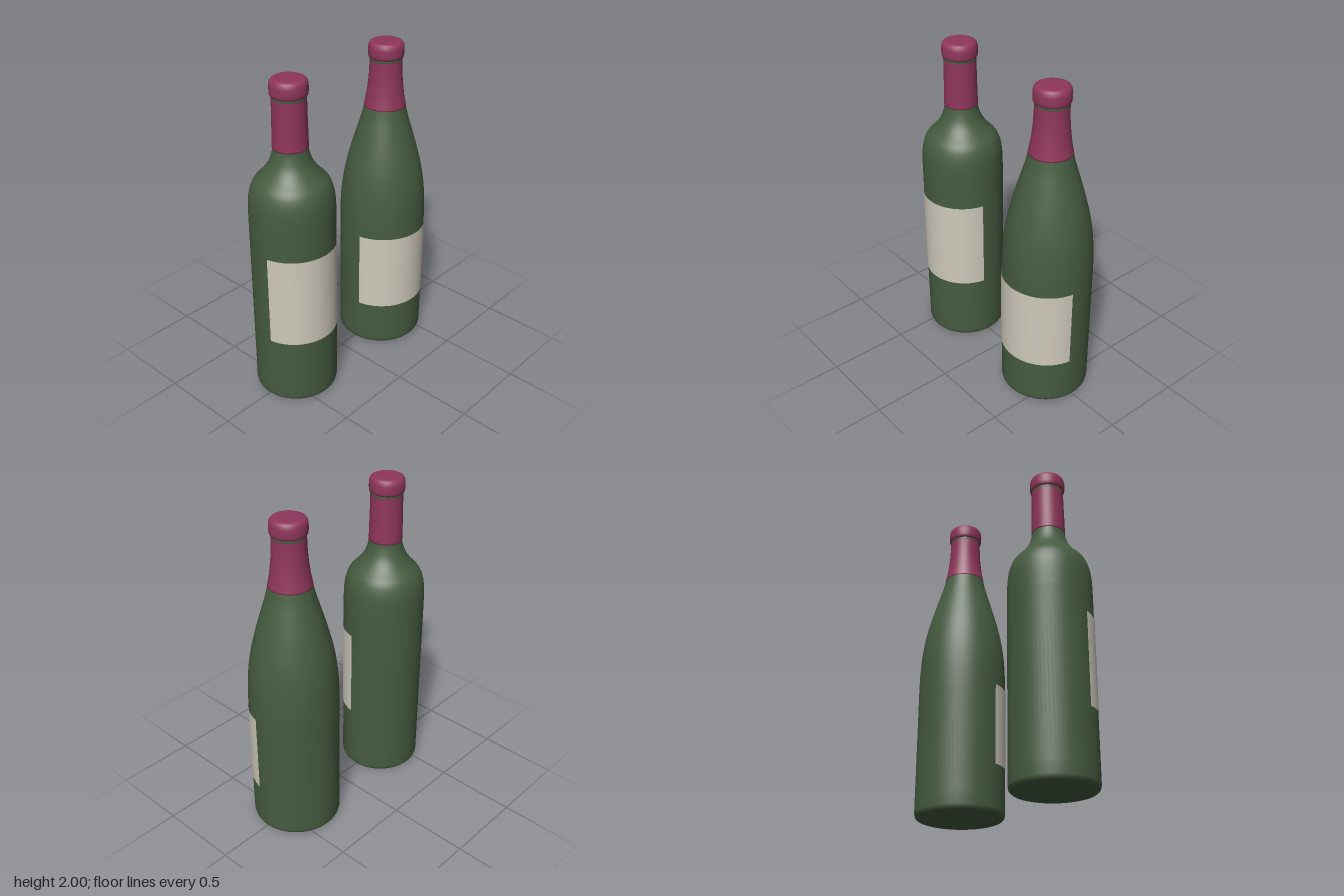
import * as THREE from 'three';

const glass = new THREE.MeshStandardMaterial({ name: 'green glass', color: 0x465c40 });
const foil = new THREE.MeshStandardMaterial({ name: 'wine red foil', color: 0x8f365a });
const paper = new THREE.MeshStandardMaterial({ name: 'cream paper', color: 0xcfcabc, side: THREE.DoubleSide });

const SEGMENTS = 72;
const points = (list) => list.map(([r, y]) => new THREE.Vector2(r, y));
const smooth = (list, n) => new THREE.SplineCurve(points(list)).getPoints(n);

function turned(name, profile, material) {
  const mesh = new THREE.Mesh(new THREE.LatheGeometry(profile, SEGMENTS), material);
  mesh.name = name;
  return mesh;
}

// One bottle: body radius, shoulder curve, foil sleeve curve and label span
function bottle(name, x, radius, shoulder, sleeve, labelBottom, labelTop) {
  const group = new THREE.Group();
  group.name = name;
  group.position.x = x;

  // Flat base with a small rounded heel, straight wall, then the shoulder
  const heel = points([[radius - 0.022, 0], [radius - 0.013, 0.003], [radius - 0.004, 0.013], [radius, 0.03]]);
  const wall = points([[radius, 0.1], [radius, shoulder[0][1] - 0.05]]);
  group.add(turned('body', [...heel, ...wall, ...smooth(shoulder, 40)], glass));
  const base = new THREE.Mesh(new THREE.CircleGeometry(radius - 0.022, SEGMENTS), glass);
  base.name = 'base';
  base.rotation.x = Math.PI / 2;
  group.add(base);

  // Foil sleeve, with a thin ring of glass showing below the lip
  const top = sleeve[sleeve.length - 1][0];
  const rim = points([[sleeve[0][0] - 0.006, 1.6]]);
  group.add(turned('foilSleeve', [...rim, ...smooth(sleeve, 24)], foil));
  group.add(turned('neckRing', points([[top, 1.888], [top + 0.001, 1.895], [top, 1.908]]), glass));
  group.add(turned('foilLip', points([
    [top - 0.002, 1.901], [0.102, 1.905], [0.106, 1.915], [0.107, 1.93], [0.107, 1.962],
    [0.104, 1.98], [0.096, 1.993], [0.084, 1.999], [0.07, 2], [0, 2],
  ]), foil));

  // Label wrapped round the front
  const half = THREE.MathUtils.degToRad(80.5);
  const label = new THREE.Mesh(new THREE.CylinderGeometry(
    radius + 0.003, radius + 0.003, labelTop - labelBottom, 48, 1, true, -half, half * 2), paper);
  label.name = 'label';
  label.position.y = (labelTop + labelBottom) / 2;
  group.add(label);
  return group;
}

export function createModel() {
  const model = new THREE.Group();
  model.name = 'wineBottles';
  model.add(
    bottle('highShoulderBottle', -0.413, 0.251,
      [[0.251, 1.18], [0.249, 1.26], [0.24, 1.33], [0.215, 1.395], [0.165, 1.45],
        [0.127, 1.505], [0.107, 1.56], [0.098, 1.61], [0.093, 1.7], [0.092, 1.9]],
      [[0.102, 1.6], [0.1, 1.7], [0.098, 1.8], [0.097, 1.892]], 0.43, 1.0),
    bottle('slopingShoulderBottle', 0.389, 0.27,
      [[0.27, 0.8], [0.268, 0.92], [0.259, 1.05], [0.239, 1.18], [0.207, 1.31],
        [0.169, 1.44], [0.142, 1.53], [0.123, 1.61], [0.1, 1.72], [0.092, 1.9]],
      [[0.127, 1.6], [0.114, 1.67], [0.104, 1.75], [0.099, 1.82], [0.097, 1.892]], 0.295, 0.8),
  );
  return model;
}
